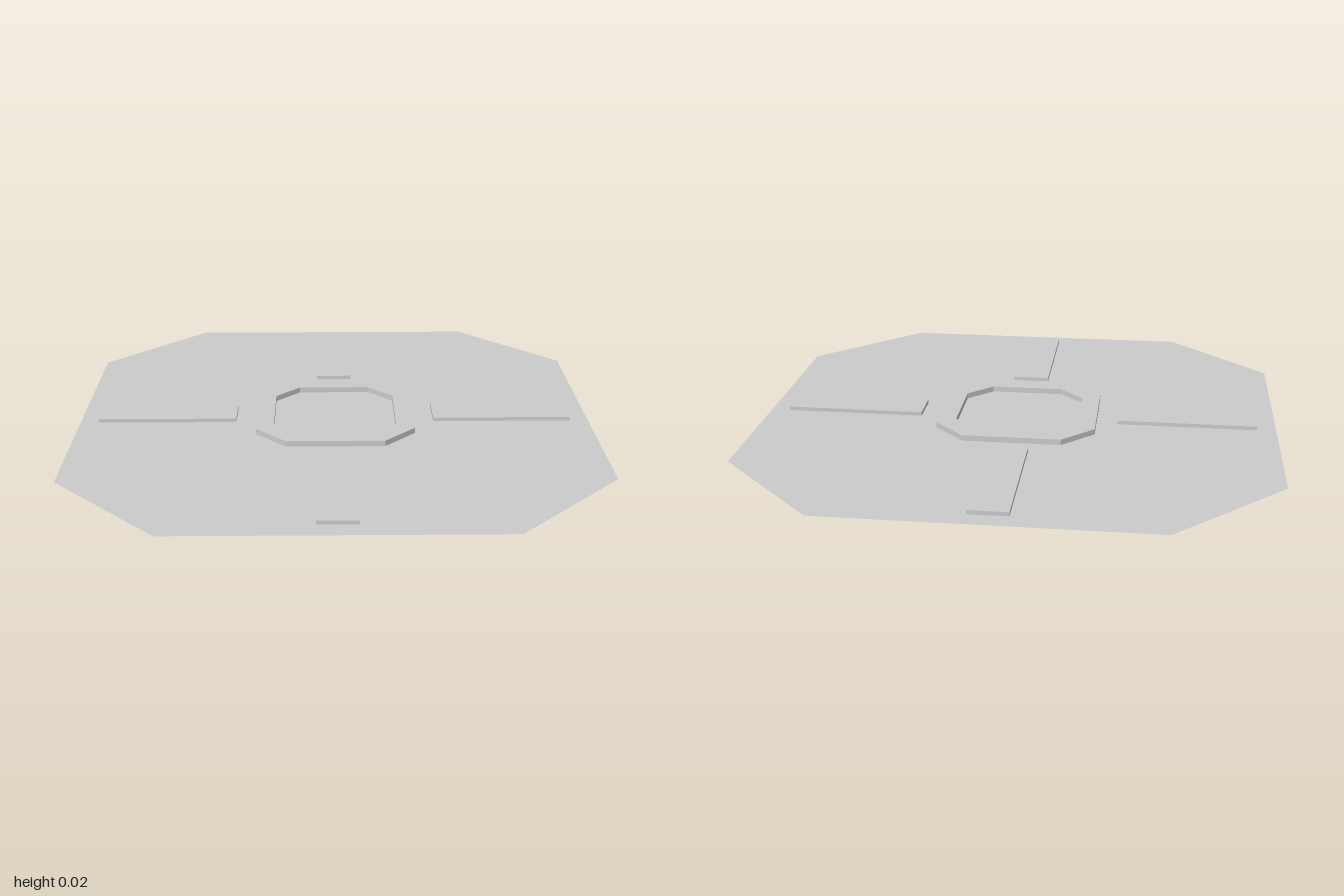
import * as THREE from 'three';
import { mergeGeometries } from 'three/addons/utils/BufferGeometryUtils.js';

const material = new THREE.MeshStandardMaterial({ color: 0xcccccc, flatShading: true, side: THREE.DoubleSide });

// Counter-clockwise square with chamfered corners: r = half size, c = half length of the flat sides
const octagon = (r, c) => [
  [r, -c], [r, c], [c, r], [-c, r], [-r, c], [-r, -c], [-c, -r], [c, -r],
].map(([x, y]) => new THREE.Vector2(x, y));

const rectangle = (x0, x1, y0, y1) => [[x0, y0], [x1, y0], [x1, y1], [x0, y1]]
  .map(([x, y]) => new THREE.Vector2(x, y));

// Flat horizontal sheet at height y with optional holes
function sheet(outline, holes, y) {
  const shape = new THREE.Shape(outline);
  shape.holes = holes.map((h) => new THREE.Path(h));
  return new THREE.ShapeGeometry(shape).rotateX(-Math.PI / 2).translate(0, y, 0).toNonIndexed();
}

// Upright wall along a closed outline, from the ground to the given height
function wall(outline, height) {
  const pos = [], uv = [];
  outline.forEach((a, i) => {
    const b = outline[(i + 1) % outline.length];
    const corners = [[a, 0], [b, 0], [b, 1], [a, 0], [b, 1], [a, 1]];
    for (const [p, t] of corners) {
      pos.push(p.x, t * height, -p.y);
      uv.push(p === a ? 0 : 1, t);
    }
  });
  const g = new THREE.BufferGeometry();
  g.setAttribute('position', new THREE.Float32BufferAttribute(pos, 3));
  g.setAttribute('uv', new THREE.Float32BufferAttribute(uv, 2));
  g.computeVertexNormals();
  return g;
}

export function createModel() {
  const group = new THREE.Group();
  const add = (name, geometry) => {
    const mesh = new THREE.Mesh(geometry, material);
    mesh.name = name;
    group.add(mesh);
  };

  const barHeight = 0.015, ringHeight = 0.022;
  const near = 0.388, far = 0.927, half = 0.072;
  const ringOuter = octagon(0.307, 0.187);
  const ringInner = octagon(0.237, 0.142);
  const bars = {
    leftBar: rectangle(near, far, -half, half),
    rightBar: rectangle(-far, -near, -half, half),
    backBar: rectangle(-half, half, near, far),
    frontBar: rectangle(-half, half, -far, -near),
  };

  // Thin floor plate, open beneath the raised parts
  add('floorPlate', sheet(octagon(1, 0.6), [ringOuter, ...Object.values(bars)], 0));
  add('centreFloor', sheet(ringInner, [], 0));

  // Raised ring, hollow underneath
  add('centreRing', mergeGeometries([
    sheet(ringOuter, [ringInner], ringHeight),
    wall(ringOuter, ringHeight),
    wall([...ringInner].reverse(), ringHeight),
  ]));

  // Four raised bars, hollow underneath
  for (const [name, outline] of Object.entries(bars)) {
    add(name, mergeGeometries([sheet(outline, [], barHeight), wall(outline, barHeight)]));
  }
  return group;
}
